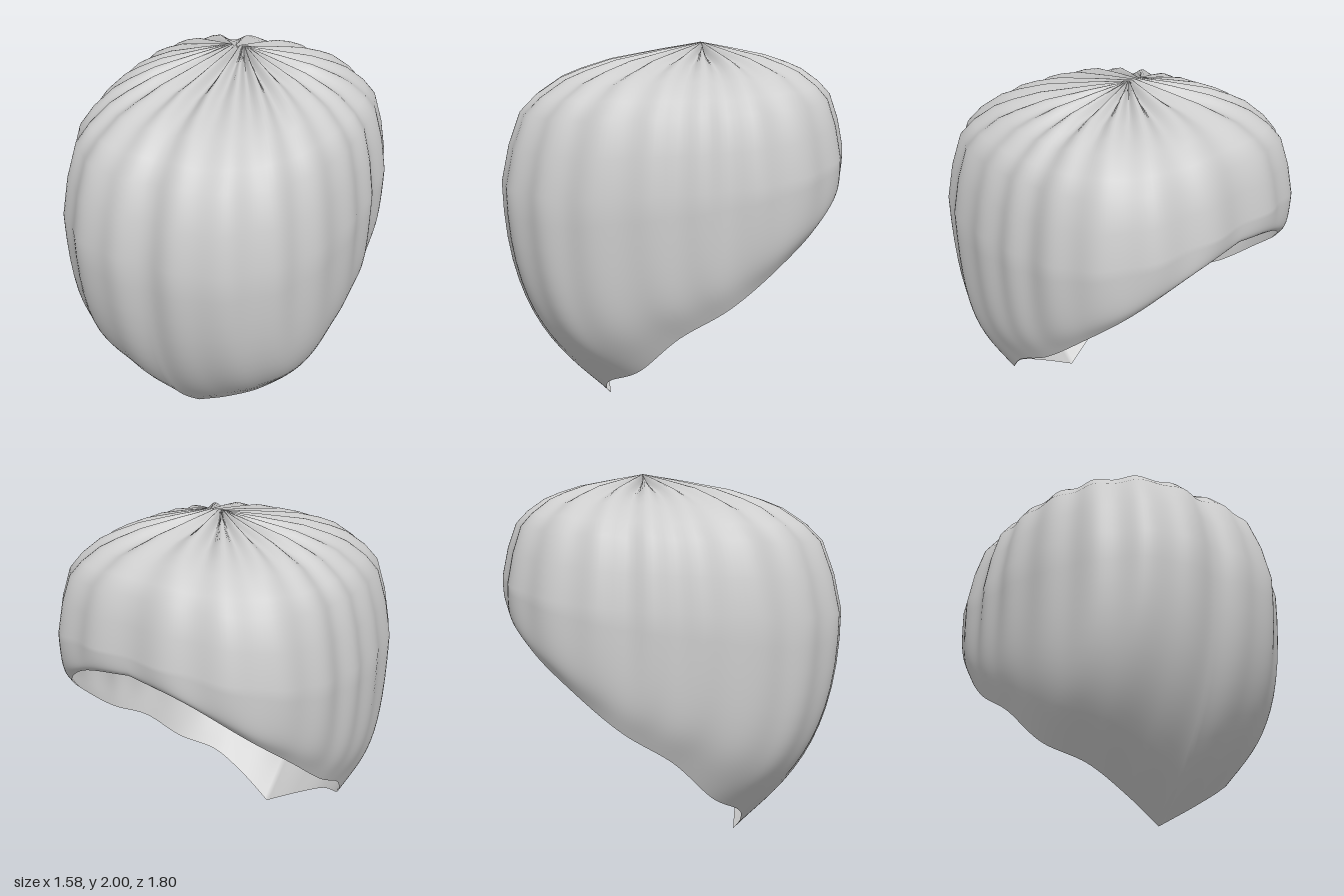
import * as THREE from 'three';

const V = (x, y, z) => new THREE.Vector3(x, y, z);
const { lerp, smoothstep } = THREE.MathUtils;

// Widest ring and open rim of one half, matched point by point from front to back
const waist = new THREE.CatmullRomCurve3([
  V(0, 1.28, 0.9), V(0.23, 1.28, 0.9), V(0.46, 1.28, 0.8), V(0.66, 1.28, 0.56), V(0.765, 1.3, 0.2),
  V(0.79, 1.32, -0.15), V(0.75, 1.36, -0.5), V(0.59, 1.41, -0.75), V(0.3, 1.46, -0.885), V(0, 1.47, -0.895)]);
const rim = new THREE.CatmullRomCurve3([
  V(0, 0, 0.35), V(0.2, 0.12, 0.37), V(0.4, 0.245, 0.345), V(0.57, 0.36, 0.2), V(0.67, 0.57, 0),
  V(0.7, 0.73, -0.25), V(0.67, 0.94, -0.5), V(0.56, 1.12, -0.7), V(0.31, 1.3, -0.845), V(0, 1.365, -0.87)]);

// Dome rows: [distance outwards, drop, pleat depth]
const dome = [[0, 0, 0.02], [0.04, 0.01, 0.045], [0.2, 0.05, 0.05], [0.45, 0.12, 0.042],
  [0.6, 0.19, 0.038], [0.7, 0.25, 0.035], [0.82, 0.37, 0.032], [0.9, 0.49, 0.03], [0.96, 0.73, 0.028], [1, 1, 0.026]];
const LOWER = 14, HALF = 110, RIBS = 10;

// Pleats: 0 on a ridge, 1 in a valley, wider at the middle of the front and back
function pleat(u) {
  const w = u - 0.25 * Math.sin(2 * Math.PI * u) / (2 * Math.PI);
  const uneven = 0.8 + 0.2 * Math.sin(u * 23 + 1);
  return uneven * (0.5 + 0.5 * Math.cos(2 * Math.PI * RIBS * w));
}

// One line of points from the apex down to the rim
function meridian(u, side) {
  const P = waist.getPoint(u), R = rim.getPoint(u), fold = pleat(u);
  const apex = V(0.05 * Math.sin(Math.PI * u), 2, -0.16);
  const out = V(P.x, 0, P.z).normalize();
  const pts = dome.map(([s, drop, depth]) => {
    const p = V(lerp(apex.x, P.x, s), 2 - drop * (2 - P.y), lerp(apex.z, P.z, s));
    const flat = s ** 3;
    p.addScaledVector(out, -depth * fold * flat);
    p.y -= depth * fold * (1 - flat);
    return p;
  });
  // Long sweep to the front tip; steeper wall with a short inward lip at the sides and back
  const lip = smoothstep(u, 0.12, 0.42);
  const c1 = V(P.x, lerp(P.y, R.y, lerp(0.64, 0.8, lip)), P.z);
  const c2 = R.clone().lerp(P, lerp(0.4, 0.64, lip));
  c2.y = lerp(R.y, P.y, 0.17);
  const lower = new THREE.CubicBezierCurve3(P, c1, c2, R);
  for (let i = 1; i <= LOWER; i++) {
    const t = i / LOWER;
    pts.push(lower.getPoint(t).addScaledVector(out, -0.026 * fold * (1 - t) ** 1.5));
  }
  pts.forEach((p) => { p.x *= side; });
  return pts;
}

export function createModel() {
  const group = new THREE.Group();
  group.name = 'pleatedShell';
  const shellGrey = new THREE.MeshStandardMaterial({ color: 0xcccccc, side: THREE.DoubleSide });
  shellGrey.name = 'shellGrey';

  // Thin pleated hood, open at the lower back
  const cols = HALF * 2, rows = dome.length + LOWER;
  const positions = [], index = [];
  for (let j = 0; j < cols; j++) {
    const u = j <= HALF ? j / HALF : (cols - j) / HALF;
    for (const p of meridian(u, j <= HALF ? 1 : -1)) positions.push(p.x, p.y, p.z);
    const a = j * rows, b = ((j + 1) % cols) * rows;
    for (let i = 0; i < rows - 1; i++) {
      index.push(a + i, a + i + 1, b + i + 1, a + i, b + i + 1, b + i);
    }
  }
  const geometry = new THREE.BufferGeometry();
  geometry.setAttribute('position', new THREE.Float32BufferAttribute(positions, 3));
  geometry.setIndex(index);
  geometry.computeVertexNormals();

  const shell = new THREE.Mesh(geometry, shellGrey);
  shell.name = 'shell';
  group.add(shell);
  return group;
}
